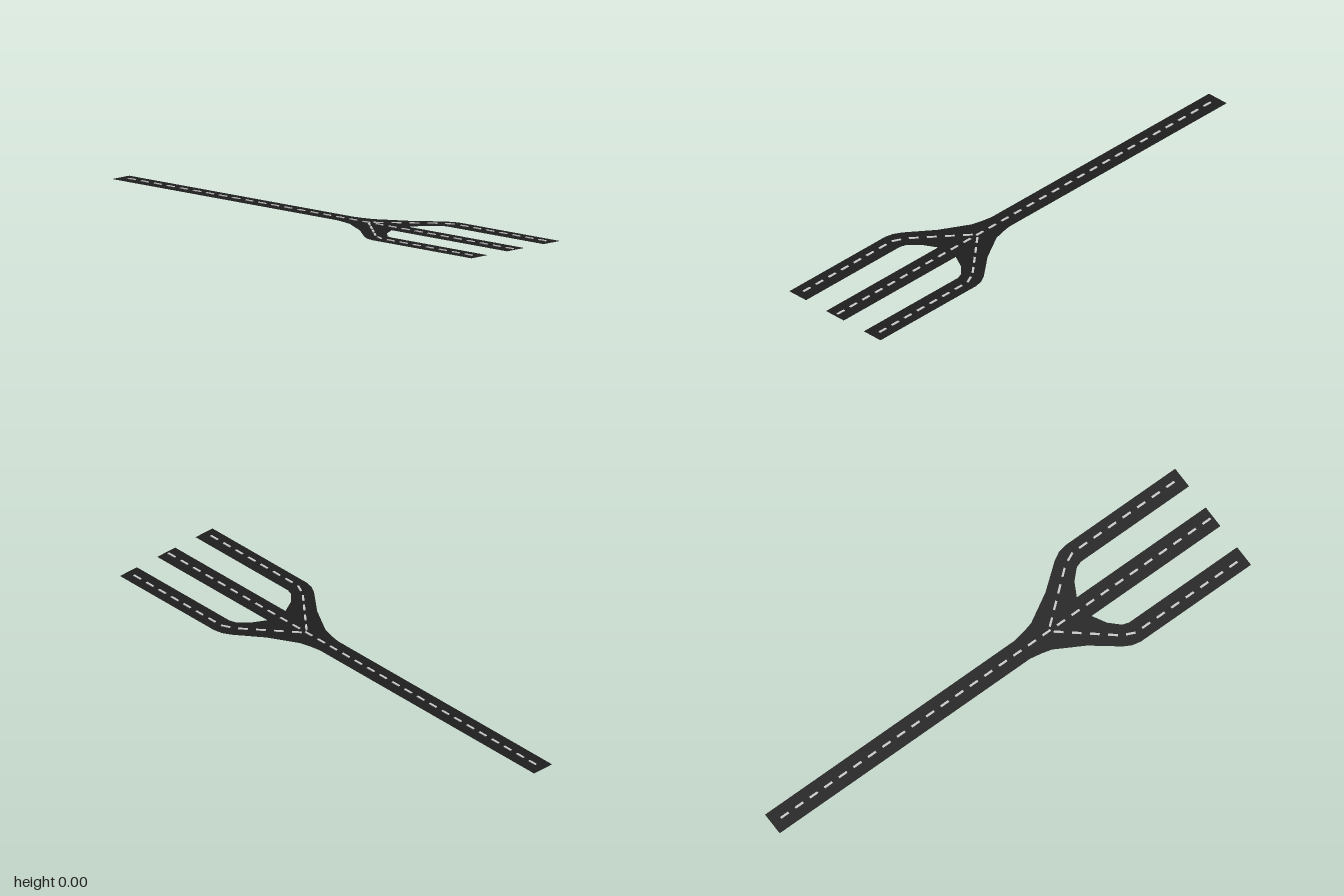
import * as THREE from 'three';

const ROAD_Y = 0.002;   // height of the asphalt sheet
const DASH = 0.036, PERIOD = 0.066, DASH_WIDTH = 0.008;

export function createModel() {
  const group = new THREE.Group();
  group.name = 'forkedRoad';
  const asphalt = new THREE.MeshStandardMaterial({ color: 0x1e1e1e, side: THREE.DoubleSide });
  const paint = new THREE.MeshStandardMaterial({ color: 0xcccccc });

  // Asphalt: half outline from the stem, around a side lane, to the middle lane's end
  const half = [
    [-1, 0.045], [0.136, 0.045], [0.18, 0.053], [0.222, 0.064], [0.334, 0.128], [0.436, 0.208],
    [0.467, 0.225], [0.5, 0.232], [1, 0.232], [1, 0.147], [0.51, 0.147],
    [0.485, 0.139], [0.445, 0.1], [0.415, 0.045], [1, 0.045],
  ];
  const mirrored = half.map(([x, z]) => [x, -z]).reverse();
  const outline = [...half, ...mirrored].map(([x, z]) => new THREE.Vector2(x, z));
  const surface = new THREE.ShapeGeometry(new THREE.Shape(outline));
  surface.rotateX(-Math.PI / 2);
  const road = new THREE.Mesh(surface, asphalt);
  road.name = 'roadSurface';
  road.position.y = ROAD_Y;
  group.add(road);

  // Dashed centre line: thin strips evenly spaced along a path of [x, z] points
  function addDashes(name, points) {
    const line = new THREE.Group();
    line.name = name;
    const path = new THREE.CurvePath();
    const v = points.map(([x, z]) => new THREE.Vector3(x, 0, z));
    for (let i = 1; i < v.length; i++) path.add(new THREE.LineCurve3(v[i - 1], v[i]));
    const length = path.getLength();
    for (let s = DASH / 2; s + DASH / 2 <= length; s += PERIOD) {
      const a = path.getPointAt((s - DASH / 2) / length);
      const b = path.getPointAt(Math.min(1, (s + DASH / 2) / length));
      const dash = new THREE.Mesh(new THREE.BoxGeometry(a.distanceTo(b), 0.005, DASH_WIDTH), paint);
      dash.name = 'dash';
      dash.position.addVectors(a, b).multiplyScalar(0.5).setY(0.0025);
      dash.rotation.y = -Math.atan2(b.z - a.z, b.x - a.x);
      line.add(dash);
    }
    group.add(line);
  }

  addDashes('middleLaneLine', [[-0.962, 0], [0.99, 0]]);
  for (const side of [1, -1]) {
    addDashes(side > 0 ? 'frontLaneLine' : 'backLaneLine',
      [[0.268, 0.012 * side], [0.45, 0.165 * side], [0.5, 0.193 * side], [0.99, 0.193 * side]]);
  }
  return group;
}
